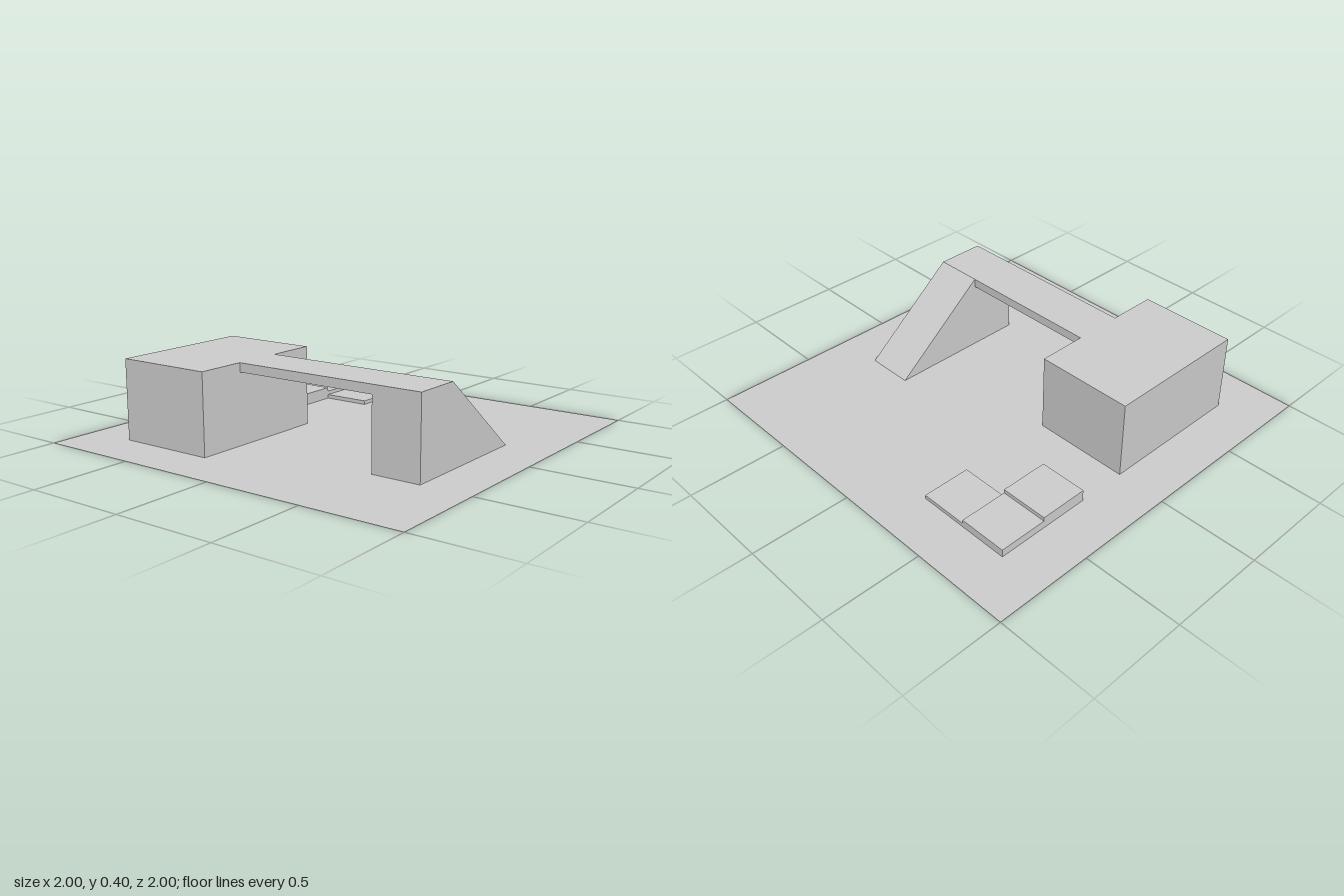
import * as THREE from 'three';

const material = new THREE.MeshStandardMaterial({ color: 0xcccccc, flatShading: true, side: THREE.DoubleSide });

// Removes the triangles whose flat normal points along one of the given directions
function dropFaces(geometry, directions) {
  const source = geometry.index ? geometry.toNonIndexed() : geometry;
  const position = source.attributes.position;
  const kept = [];
  const tri = new THREE.Triangle();
  const normal = new THREE.Vector3();
  for (let i = 0; i < position.count; i += 3) {
    tri.setFromAttributeAndIndices(position, i, i + 1, i + 2);
    tri.getNormal(normal);
    if (directions.some((d) => normal.dot(d) > 0.99)) continue;
    for (const p of [tri.a, tri.b, tri.c]) kept.push(p.x, p.y, p.z);
  }
  const result = new THREE.BufferGeometry();
  result.setAttribute('position', new THREE.Float32BufferAttribute(kept, 3));
  result.computeVertexNormals();
  return result;
}

const DOWN = new THREE.Vector3(0, -1, 0);
const FRONT = new THREE.Vector3(0, 0, 1);
const BACK = new THREE.Vector3(0, 0, -1);

// Hollow block between two corners, open on the given sides
function openBox(x0, x1, y0, y1, z0, z1, openSides) {
  const box = new THREE.BoxGeometry(x1 - x0, y1 - y0, z1 - z0);
  box.translate((x0 + x1) / 2, (y0 + y1) / 2, (z0 + z1) / 2);
  return dropFaces(box, openSides);
}

const outline = (points) => points.map(([x, y]) => new THREE.Vector2(x, y));
const rectangle = (x0, x1, z0, z1) => [[x0, z0], [x1, z0], [x1, z1], [x0, z1]];

export function createModel() {
  const model = new THREE.Group();
  const add = (name, geometry) => {
    const mesh = new THREE.Mesh(geometry, material);
    mesh.name = name;
    model.add(mesh);
  };

  // Ground sheet, cut open beneath the hollow blocks
  const toShape = (points) => outline(points.map(([x, z]) => [x, -z]));
  const sheet = new THREE.Shape(toShape(rectangle(-1, 1, -1, 1)));
  const cutouts = [
    rectangle(-0.75, 0, -0.75, -0.25),
    rectangle(-0.5, 0.25, 0.5, 0.75),
    [[0.25, -0.75], [0.75, -0.75], [0.75, -0.25], [0.5, -0.25], [0.5, -0.5], [0.25, -0.5]],
  ];
  for (const cutout of cutouts) sheet.holes.push(new THREE.Path(toShape(cutout)));
  add('ground', new THREE.ShapeGeometry(sheet).rotateX(-Math.PI / 2));

  // Raised platform and the thin bridge leading to the ramp
  add('platform', openBox(-0.75, 0, 0, 0.4, -0.75, -0.25, [DOWN]));
  add('bridge', openBox(-0.5, -0.25, 0.355, 0.4, -0.25, 0.5, [FRONT, BACK]));

  // Ramp with a flat landing
  const profile = new THREE.Shape(outline([[-0.5, 0], [0.25, 0], [-0.25, 0.4], [-0.5, 0.4]]));
  const ramp = new THREE.ExtrudeGeometry(profile, { depth: 0.25, bevelEnabled: false });
  add('ramp', dropFaces(ramp.translate(0, 0, 0.5), [DOWN]));

  // Three low steps turning a corner
  const steps = [[0.5, -0.5, 0.02], [0.5, -0.75, 0.04], [0.25, -0.75, 0.06]];
  steps.forEach(([x, z, height], i) => {
    add(`step${i + 1}`, openBox(x, x + 0.25, 0, height, z, z + 0.25, [DOWN]));
  });

  return model;
}
